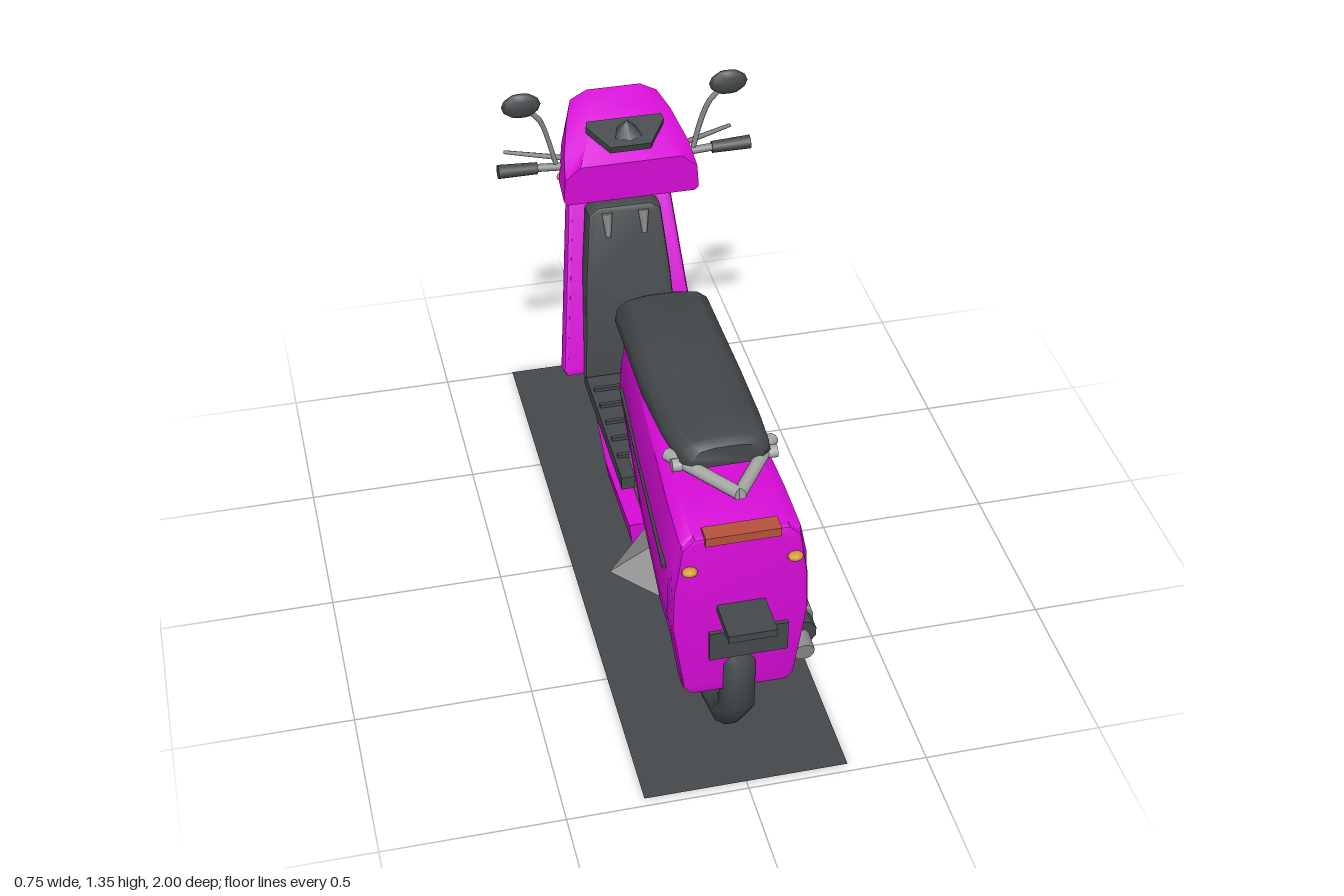
import * as THREE from 'three';
import { toCreasedNormals } from 'three/addons/utils/BufferGeometryUtils.js';

const mat = (name, color, side = THREE.FrontSide) => new THREE.MeshStandardMaterial({ name, color, side });

// Cross-section at z, counter-clockwise from +z: pairs of [halfWidth, y] from bottom to top, mirrored in x
const section = (z, ...half) => [
  ...half.map(([x, y]) => [x, y, z]),
  ...half.slice().reverse().map(([x, y]) => [-x, y, z]),
];

// Skin over sections ordered by rising z, with end caps
function loft(sections, crease = 0.6) {
  const n = sections[0].length, index = [];
  for (let i = 0; i < sections.length - 1; i++) {
    for (let j = 0; j < n; j++) {
      const a = i * n + j, b = i * n + (j + 1) % n;
      index.push(a, b, b + n, a, b + n, a + n);
    }
  }
  const last = (sections.length - 1) * n;
  for (let j = 1; j < n - 1; j++) {
    index.push(0, j + 1, j);
    index.push(last, last + j, last + j + 1);
  }
  const g = new THREE.BufferGeometry();
  g.setAttribute('position', new THREE.Float32BufferAttribute(sections.flat(2), 3));
  g.setIndex(index);
  return toCreasedNormals(g, crease);
}

// Cylinder or cone between two points
function rod(a, b, r1, r2 = r1, sides = 10) {
  const p = new THREE.Vector3(...a), q = new THREE.Vector3(...b), d = q.clone().sub(p);
  const g = new THREE.CylinderGeometry(r2, r1, d.length(), sides);
  g.applyQuaternion(new THREE.Quaternion().setFromUnitVectors(new THREE.Vector3(0, 1, 0), d.normalize()));
  return g.translate(...p.add(q).multiplyScalar(0.5).toArray());
}

const box = (w, h, d, x, y, z) => new THREE.BoxGeometry(w, h, d).translate(x, y, z);

// Mirrored outline extruded along z, from [halfWidth, y] pairs
function plate(half, depth, bevel) {
  const pts = section(0, ...half).map(([x, y]) => new THREE.Vector2(x, y));
  return new THREE.ExtrudeGeometry(new THREE.Shape(pts), {
    depth: depth - 2 * bevel, bevelEnabled: bevel > 0, bevelSize: bevel, bevelOffset: -bevel,
    bevelThickness: bevel, bevelSegments: 2,
  }).translate(0, 0, bevel);
}

// Lean an upright plate forwards and wrap its sides back
function lean(g, y0, z0, slope, wrap) {
  const p = g.attributes.position;
  for (let i = 0; i < p.count; i++) {
    p.setZ(i, p.getZ(i) + z0 - slope * (p.getY(i) - y0) + wrap * p.getX(i) ** 2);
  }
  g.computeVertexNormals();
  return toCreasedNormals(g, 0.6);
}

export function createModel() {
  const root = new THREE.Group();
  root.name = 'scooter';
  const paint = mat('magenta paint', 0xd60bd6);
  const dark = mat('dark rubber', 0x45494b);
  const ground = mat('ground grey', 0x45494b, THREE.DoubleSide);
  const metal = mat('grey metal', 0x8c8c8c);
  const silver = mat('silver', 0xa8aaa8);
  const amber = mat('amber', 0xd29a2e);
  const red = mat('tail red', 0xb8523c);
  const engineGrey = mat('engine grey', 0x6c6e6e);
  const add = (name, geo, material, parent = root) => {
    const m = new THREE.Mesh(geo, material);
    m.name = name;
    parent.add(m);
    return m;
  };

  add('groundPlate', new THREE.PlaneGeometry(0.566, 1.977).rotateX(-Math.PI / 2).translate(0, 0.004, -0.0115), ground);

  // Wheels
  const tyreProfile = [[0.18, -0.03], [0.22, -0.05], [0.25, -0.042], [0.266, -0.015], [0.266, 0.015],
    [0.25, 0.042], [0.22, 0.05], [0.18, 0.03], [0.18, -0.03]].map(([r, y]) => new THREE.Vector2(r, y));
  for (const [name, z] of [['frontWheel', -0.673], ['rearWheel', 0.645]]) {
    const wheel = new THREE.Group();
    wheel.name = name;
    wheel.position.set(0, 0.266, z);
    root.add(wheel);
    add('tyre', new THREE.LatheGeometry(tyreProfile, 10).rotateZ(Math.PI / 2).rotateX(Math.PI / 10), dark, wheel);
    add('rimDisc', new THREE.CylinderGeometry(0.168, 0.168, 0.03, 10).rotateZ(Math.PI / 2), metal, wheel);
    add('hub', new THREE.CylinderGeometry(0.055, 0.055, 0.13, 8).rotateZ(Math.PI / 2), metal, wheel);
    for (let i = 0; i < 5; i++) {
      const a = i * Math.PI * 0.4 + 0.3;
      add('spoke', box(0.055, 0.18, 0.014, 0, 0.09, 0).rotateX(a), metal, wheel);
    }
  }

  // Rear bodywork
  const bodySection = (z, y0, y1, w, roof) =>
    section(z, [w * 0.8, y0], [w * 0.97, y0 + 0.025], [w, y0 + 0.08], [w * 0.97, y1 - 0.11], [w * 0.87, y1 - 0.02], [roof, y1]);
  add('rearBody', loft([
    bodySection(-0.012, 0.6, 0.82, 0.115, 0.09),
    bodySection(0.01, 0.58, 0.832, 0.132, 0.105),
    bodySection(0.38, 0.475, 0.832, 0.16, 0.115),
    bodySection(0.7, 0.425, 0.805, 0.18, 0.125),
    bodySection(0.85, 0.42, 0.79, 0.184, 0.13),
    bodySection(0.868, 0.435, 0.78, 0.174, 0.12),
  ]), paint);
  add('tailPanel', toCreasedNormals(plate([[0.13, 0.255], [0.152, 0.28], [0.184, 0.5], [0.18, 0.62],
    [0.158, 0.76], [0.125, 0.79]], 0.075, 0.012), 0.6).translate(0, 0, 0.8), paint);
  for (const s of [-1, 1]) {
    add('sideStripe', rod([s * 0.134, 0.67, 0.05], [s * 0.182, 0.637, 0.78], 0.008, 0.008, 6), dark);
    add('rearIndicator', new THREE.SphereGeometry(0.022, 8, 6).scale(1, 0.6, 0.8).translate(s * 0.14, 0.695, 0.882), amber);
    add('frontIndicator', new THREE.SphereGeometry(0.025, 8, 6).scale(1, 0.6, 0.8).translate(s * 0.158, 0.976, -0.62), amber);
  }
  add('tailLight', box(0.2, 0.026, 0.05, 0, 0.787, 0.862), red);
  add('plateBracket', box(0.13, 0.022, 0.13, 0, 0.55, 0.935), dark);
  add('numberPlate', box(0.21, 0.09, 0.012, 0, 0.498, 0.955), dark);

  // Seat and grab rail
  const seatSection = (z, y0, y1, w) =>
    section(z, [w * 0.9, y0], [w, y0 + 0.025], [w * 0.95, y1 - 0.03], [w * 0.75, y1 - 0.008], [w * 0.35, y1]);
  add('seat', loft([
    seatSection(-0.045, 0.845, 0.915, 0.11),
    seatSection(-0.025, 0.832, 0.926, 0.136),
    seatSection(0.33, 0.832, 0.928, 0.14),
    seatSection(0.55, 0.858, 0.94, 0.135),
    seatSection(0.69, 0.875, 0.965, 0.12),
    seatSection(0.715, 0.89, 0.95, 0.1),
  ], 0.9), dark);
  for (const s of [-1, 1]) {
    add('grabRail', rod([s * 0.14, 0.885, 0.63], [0, 0.89, 0.835], 0.018), silver);
  }
  add('grabCrossbar', rod([-0.14, 0.885, 0.68], [0.14, 0.885, 0.68], 0.018), silver);

  // Floor, underside and engine
  add('floor', box(0.29, 0.042, 0.53, 0, 0.353, -0.185), dark);
  for (let i = 0; i < 5; i++) add('floorRib', box(0.27, 0.014, 0.012, 0, 0.378, -0.35 + i * 0.083), dark);
  const under = (z, y0, y1, w) => section(z, [w * 0.5, y0], [w * 0.95, (y0 + y1) / 2], [w, y1]);
  add('underTray', loft([
    under(-0.49, 0.245, 0.272, 0.09), under(-0.4, 0.225, 0.295, 0.13),
    under(-0.1, 0.19, 0.298, 0.155), under(0.2, 0.17, 0.295, 0.15),
  ]), paint);
  add('spine', box(0.14, 0.06, 0.6, 0, 0.31, -0.15), engineGrey);
  const eng = (z, r) => section(z, [0.1 - r, 0.29], [0.105, 0.32], [0.105, 0.45], [0.085 - r, 0.482]);
  add('engine', loft([eng(0.0, 0.02), eng(0.02, 0), eng(0.21, 0), eng(0.23, 0.02)]), metal);
  add('swingArm', box(0.13, 0.17, 0.35, 0, 0.315, 0.3), engineGrey);
  add('fanCover', new THREE.ConeGeometry(1, 1, 4).toNonIndexed().rotateZ(Math.PI / 2)
    .scale(0.17, 0.1, 0.2).translate(-0.165, 0.31, 0.4), metal).geometry.computeVertexNormals();
  add('kickstand', rod([-0.105, 0.065, 0.055], [-0.075, 0.27, 0.09], 0.013), metal);

  // Exhaust
  add('muffler', rod([0.185, 0.34, 0.8], [0.175, 0.385, 0.38], 0.05, 0.04), dark);
  add('heatShield', rod([0.2, 0.347, 0.75], [0.19, 0.377, 0.4], 0.04, 0.048), silver);
  add('tailPipe', rod([0.185, 0.32, 0.85], [0.185, 0.332, 0.78], 0.03), metal);
  add('exhaustPipe', rod([0.175, 0.37, 0.4], [0.08, 0.33, 0.15], 0.02), metal);
  add('axleCase', rod([0.04, 0.27, 0.645], [0.17, 0.29, 0.66], 0.06, 0.045), engineGrey);

  // Front fork and mudguard
  for (const s of [-1, 1]) {
    add('forkLeg', rod([s * 0.08, 0.25, -0.71], [s * 0.08, 0.69, -0.588], 0.026, 0.02), metal);
  }
  add('frontAxle', rod([-0.1, 0.266, -0.69], [0.1, 0.266, -0.69], 0.03), metal);
  const guard = (z, y0, y1, w) => section(z, [w, y0], [w, y1 - 0.015], [w * 0.75, y1]);
  add('frontMudguard', loft([
    guard(-0.94, 0.438, 0.472, 0.054), guard(-0.8, 0.445, 0.49, 0.06), guard(-0.65, 0.455, 0.502, 0.066),
    guard(-0.5, 0.45, 0.495, 0.06), guard(-0.43, 0.445, 0.483, 0.045),
  ]), paint);

  // Leg shield with inner panel
  add('legShield', lean(plate([[0.2, 0.38], [0.212, 0.4], [0.185, 0.65], [0.15, 0.97], [0.13, 1.005]], 0.055, 0.014),
    0.39, -0.515, 0.265, 0.8), paint);
  add('innerPanel', lean(plate([[0.15, 0.38], [0.13, 0.7], [0.11, 0.9], [0.08, 0.92]], 0.07, 0.012),
    0.39, -0.485, 0.185, 0.4), dark);
  for (const s of [-1, 1]) add('bagHook', rod([s * 0.055, 0.83, -0.49], [s * 0.055, 0.9, -0.51], 0.008, 0.018, 6), metal);

  // Handlebar cowl
  add('handlebarCowl', loft([
    section(-0.652, [0.11, 1.15], [0.135, 1.17], [0.13, 1.215], [0.08, 1.242]),
    section(-0.58, [0.15, 1.09], [0.172, 1.115], [0.155, 1.19], [0.085, 1.215]),
    section(-0.47, [0.19, 1.035], [0.203, 1.06], [0.185, 1.135], [0.12, 1.162]),
    section(-0.41, [0.19, 1.008], [0.2, 1.02], [0.195, 1.09], [0.15, 1.128]),
  ]), paint);
  add('steeringNeck', box(0.14, 0.13, 0.09, 0, 1.045, -0.525), paint);
  add('headlight', box(0.165, 0.065, 0.04, 0, 1.128, -0.65), silver);

  // Instrument visor
  const visorShape = new THREE.Shape([[-0.115, 0.05], [-0.06, -0.035], [0.06, -0.035], [0.115, 0.05], [0.11, 0.07],
    [-0.11, 0.07]].map(([x, y]) => new THREE.Vector2(x, y)));
  add('instrumentVisor', new THREE.ExtrudeGeometry(visorShape, { depth: 0.025, bevelEnabled: false })
    .rotateX(-Math.PI / 2 + 0.35).translate(0, 1.17, -0.455), dark);
  add('instrumentCap', new THREE.ConeGeometry(0.045, 0.045, 6).translate(0, 1.215, -0.465), dark);

  // Grips, levers and mirrors
  for (const s of [-1, 1]) {
    add('handlebar', rod([s * 0.17, 1.085, -0.5], [s * 0.28, 1.092, -0.5], 0.012), metal);
    add('grip', rod([s * 0.26, 1.09, -0.5], [s * 0.375, 1.095, -0.497], 0.018, 0.021), dark);
    add('brakeLever', rod([s * 0.17, 1.1, -0.52], [s * 0.34, 1.098, -0.597], 0.009, 0.006, 6), metal);
    const stem = new THREE.CatmullRomCurve3([[0.205, 1.1, -0.5], [0.225, 1.18, -0.5], [0.25, 1.255, -0.49],
      [0.285, 1.295, -0.485]].map(([x, y, z]) => new THREE.Vector3(s * x, y, z)));
    add('mirrorStem', new THREE.TubeGeometry(stem, 8, 0.008, 6), metal);
    add('mirror', new THREE.SphereGeometry(1, 10, 6).scale(0.057, 0.039, 0.019).translate(s * 0.303, 1.311, -0.485), dark);
  }
  return root;
}
